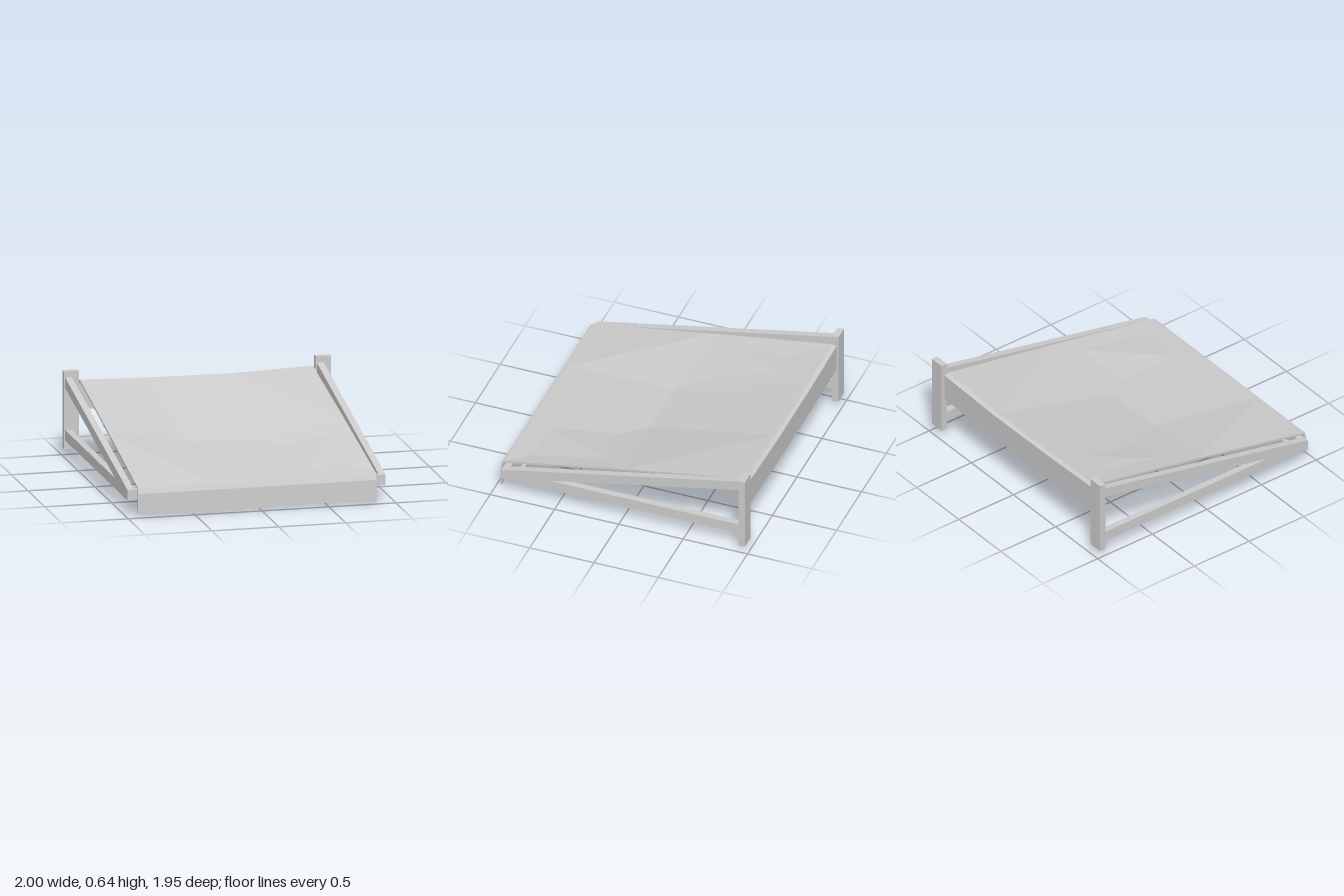
import * as THREE from 'three';

const material = new THREE.MeshStandardMaterial({ color: 0xcccccc, flatShading: true });
const fabric = new THREE.MeshStandardMaterial({ color: 0xcccccc, flatShading: true, side: THREE.DoubleSide });

// Box given by its extents on each axis
function beam(name, [x0, x1], [y0, y1], [z0, z1]) {
  const geometry = new THREE.BoxGeometry(x1 - x0, y1 - y0, z1 - z0);
  geometry.translate((x0 + x1) / 2, (y0 + y1) / 2, (z0 + z1) / 2);
  const mesh = new THREE.Mesh(geometry, material);
  mesh.name = name;
  return mesh;
}

// Beam sheared so that it climbs towards the wall
function slopedBeam(name, xs, rise) {
  const mesh = beam(name, xs, [0.125, 0.203], [-0.93, 0.935]);
  const p = mesh.geometry.attributes.position;
  for (let i = 0; i < p.count; i++) p.setY(i, p.getY(i) + rise * (0.935 - p.getZ(i)) / 1.865);
  mesh.geometry.computeVertexNormals();
  return mesh;
}

// Sagging cloth with a hanging flap at both ends, skinned across four sections
function clothGeometry() {
  const columns = [
    { back: -0.88, mid: -0.90, front: -0.92, top: 0.573, midY: 0.405, midZ: 0, hem: 0.03, drop: 0.35 },
    { back: -0.37, mid: -0.29, front: -0.37, top: 0.558, midY: 0.312, midZ: 0.065, hem: 0.003, drop: 0.34 },
    { back: 0.27, mid: 0.20, front: 0.28, top: 0.553, midY: 0.308, midZ: 0.065, hem: 0.035, drop: 0.34 },
    { back: 0.862, mid: 0.862, front: 0.862, top: 0.573, midY: 0.405, midZ: 0, hem: 0.012, drop: 0.35 },
  ];
  const t = 0.016;
  const loops = columns.map((c) => {
    const outer = [
      [c.back, c.drop, -0.966], [c.back, c.top - 0.012, -0.966], [c.back, c.top, -0.935],
      [c.mid, c.midY, c.midZ],
      [c.front, 0.227, 0.935], [c.front, 0.222, 0.958], [c.front, 0.175, 0.97], [c.front, c.hem, 0.976],
    ];
    const offset = [[0, t], [-t, t], [-t, 0.004], [-t, 0], [-t, 0], [-t, -t], [0, -t], [0, -t]];
    const inner = outer.map(([x, y, z], j) => [x, y + offset[j][0], z + offset[j][1]]);
    return [...outer, ...inner.reverse()];
  });
  const n = loops[0].length;
  const index = [];
  const quad = (a, b, c, d) => index.push(a, b, c, a, c, d);
  for (let i = 0; i < loops.length - 1; i++) {
    for (let j = 0; j < n; j++) {
      const k = (j + 1) % n;
      quad(i * n + j, i * n + k, (i + 1) * n + k, (i + 1) * n + j);
    }
  }
  // Side edges
  const last = (loops.length - 1) * n;
  for (let j = 0; j < n / 2 - 1; j++) {
    const a = j, b = j + 1, c = n - 2 - j, d = n - 1 - j;
    quad(a, d, c, b);
    quad(last + a, last + b, last + c, last + d);
  }
  const geometry = new THREE.BufferGeometry();
  geometry.setAttribute('position', new THREE.Float32BufferAttribute(loops.flat(2), 3));
  geometry.setIndex(index);
  geometry.computeVertexNormals();
  return geometry;
}

export function createModel() {
  const group = new THREE.Group();
  group.name = 'awning';

  // Wall posts, level arms and sloping rafters on both sides
  const sides = [
    { side: 'left', post: [0.882, 0.997], arm: [0.89, 0.94] },
    { side: 'right', post: [-1, -0.887], arm: [-0.99, -0.94] },
  ];
  for (const { side, post, arm } of sides) {
    group.add(
      beam(`${side}WallPost`, post, [0.06, 0.64], [-0.978, -0.93]),
      beam(`${side}LowerArm`, arm, [0.125, 0.203], [-0.93, 0.935]),
      slopedBeam(`${side}Rafter`, arm, 0.392),
    );
  }

  // Rails joining the two sides
  group.add(
    beam('frontRail', [-0.94, 0.89], [0.125, 0.203], [0.885, 0.935]),
    beam('innerRail', [-0.94, 0.89], [0.145, 0.2], [0.79, 0.82]),
    beam('backRail', [-0.887, 0.882], [0.47, 0.545], [-0.95, -0.932]),
  );

  // Cloth
  const cloth = new THREE.Mesh(clothGeometry(), fabric);
  cloth.name = 'cloth';
  group.add(cloth);
  return group;
}
